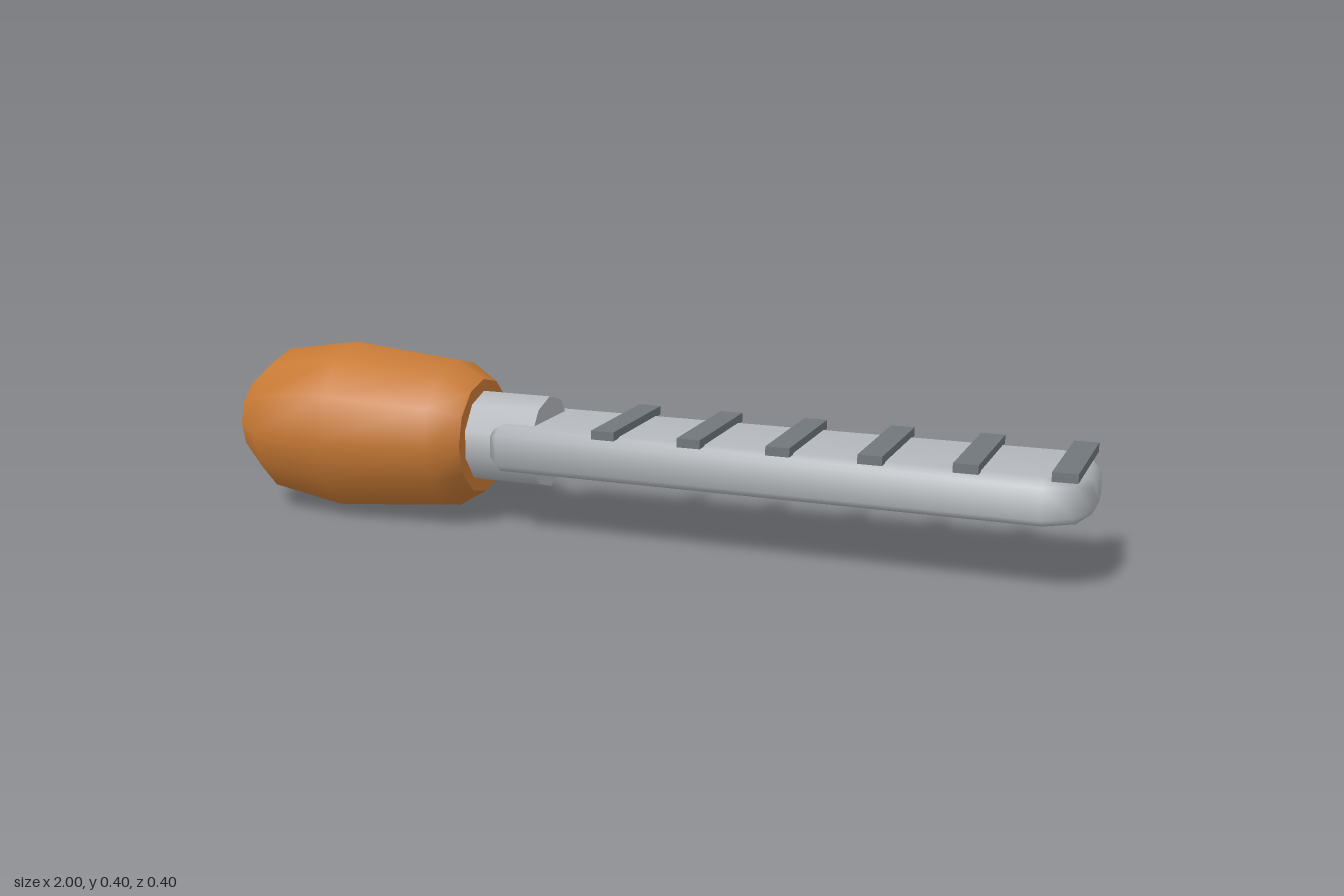
import * as THREE from 'three';
import { toCreasedNormals } from 'three/addons/utils/BufferGeometryUtils.js';

const AXIS_Y = 0.201;

// Lofts chamfered rectangles [x, yBottom, yTop, halfDepth, chamfer] along x, closed at both ends
function loftBlade(sections) {
  const pos = [], index = [], n = 8;
  for (const [x, y0, y1, h, c] of sections) {
    const ring = [
      [y0, -h + c], [y0, h - c], [y0 + c * 0.7, h], [y1 - c * 0.7, h],
      [y1, h - c], [y1, -h + c], [y1 - c * 0.7, -h], [y0 + c * 0.7, -h],
    ];
    for (const [y, z] of ring) pos.push(x, y, z);
  }
  for (let s = 0; s < sections.length - 1; s++) {
    for (let i = 0; i < n; i++) {
      const a = s * n + i, b = s * n + (i + 1) % n;
      index.push(a, a + n, b, b, a + n, b + n);
    }
  }
  const last = (sections.length - 1) * n;
  for (let i = 1; i < n - 1; i++) {
    index.push(0, i, i + 1);
    index.push(last, last + i + 1, last + i);
  }
  // keep outward winding: +x end cap must face +x
  for (let i = 0; i < index.length; i += 3) {
    const [a, b, c] = [index[i], index[i + 1], index[i + 2]];
    const p = (k) => new THREE.Vector3().fromArray(pos, k * 3);
    const mid = p(a).add(p(b)).add(p(c)).divideScalar(3);
    const normal = p(b).sub(p(a)).cross(p(c).sub(p(a)));
    if (normal.dot(mid.sub(new THREE.Vector3(0.33, AXIS_Y, 0))) < 0) {
      index[i + 1] = c;
      index[i + 2] = b;
    }
  }
  const g = new THREE.BufferGeometry();
  g.setAttribute('position', new THREE.Float32BufferAttribute(pos, 3));
  g.setIndex(index);
  g.computeVertexNormals();
  return g;
}

export function createModel() {
  const model = new THREE.Group();
  const wood = new THREE.MeshStandardMaterial({ name: 'orange wood', color: 0xc87a35 });
  const steel = new THREE.MeshStandardMaterial({ name: 'steel', color: 0xb4b8bc });
  const darkSteel = new THREE.MeshStandardMaterial({ name: 'dark steel', color: 0x70777b });

  const add = (name, geometry, material, x, y) => {
    const mesh = new THREE.Mesh(geometry, material);
    mesh.name = name;
    mesh.position.set(x, y, 0);
    model.add(mesh);
    return mesh;
  };

  // Twelve-sided handle, turned about the x axis, with flat ends
  const profile = [
    [0, -1], [0.1, -1], [0.17, -0.92], [0.2, -0.735],
    [0.175, -0.47], [0.134, -0.402], [0, -0.402],
  ].map(([r, x]) => new THREE.Vector2(r, x));
  const handle = new THREE.LatheGeometry(profile, 12, Math.PI / 2);
  handle.rotateZ(-Math.PI / 2);
  add('handle', toCreasedNormals(handle, 0.75), wood, 0, AXIS_Y);

  // Ten-sided collar between handle and blade
  const collar = new THREE.CylinderGeometry(0.106, 0.106, 0.19, 10, 1, false, Math.PI / 2);
  collar.rotateZ(-Math.PI / 2);
  add('collar', collar, steel, -0.33, AXIS_Y);

  // Softly chamfered blade, widening slightly to a tapered tip
  add('blade', loftBlade([
    [-0.335, 0.17, 0.238, 0.11, 0.015],
    [-0.31, 0.15, 0.255, 0.135, 0.026],
    [0.91, 0.15, 0.255, 0.146, 0.026],
    [0.972, 0.151, 0.254, 0.108, 0.026],
    [1.0, 0.168, 0.237, 0.07, 0.018],
  ]), steel, 0, 0);

  // Cross ridges on the upper face
  const ridge = new THREE.BoxGeometry(0.053, 0.02, 0.29);
  for (let i = 0; i < 6; i++) add('ridge', ridge, darkSteel, -0.045 + i * 0.2, 0.262);

  return model;
}
